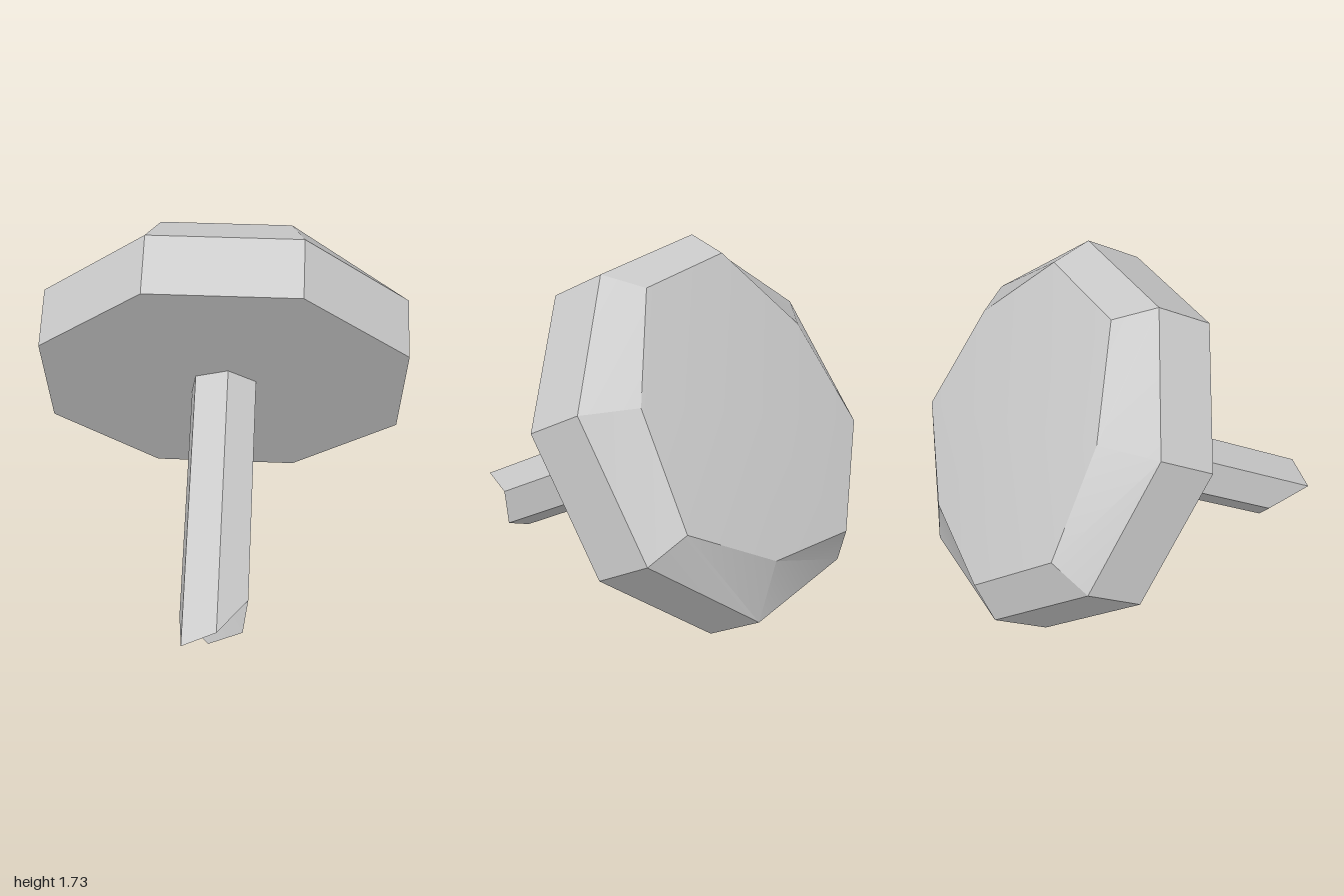
import * as THREE from 'three';
import { toCreasedNormals } from 'three/addons/utils/BufferGeometryUtils.js';

// Joins rings of points (bottom to top) and closes both ends with fans
function loft(rings, bottom, top, crease) {
  const pos = [];
  const tri = (...pts) => pts.forEach((p) => pos.push(p.x, p.y, p.z));
  const n = rings[0].length;
  for (let i = 0; i < n; i++) {
    const j = (i + 1) % n;
    for (let r = 0; r < rings.length - 1; r++) {
      const lo = rings[r], up = rings[r + 1];
      tri(lo[i], up[i], up[j]);
      tri(lo[i], up[j], lo[j]);
    }
    const last = rings[rings.length - 1];
    tri(bottom, rings[0][i], rings[0][j]);
    tri(top, last[j], last[i]);
  }
  const geometry = new THREE.BufferGeometry();
  geometry.setAttribute('position', new THREE.Float32BufferAttribute(pos, 3));
  return toCreasedNormals(geometry, crease);
}

// Ring of points around y; radius and height may vary from corner to corner
function ring(sides, startDeg, radius, height) {
  return Array.from({ length: sides }, (_, i) => {
    const a = THREE.MathUtils.degToRad(startDeg) + (i / sides) * Math.PI * 2;
    const r = Array.isArray(radius) ? radius[i] : radius;
    const y = Array.isArray(height) ? height[i] : height;
    return new THREE.Vector3(r * Math.cos(a), y, r * Math.sin(a));
  });
}

export function createModel() {
  const grey = new THREE.MeshStandardMaterial({ color: 0xcccccc });
  grey.name = 'light grey';
  const centre = (y) => new THREE.Vector3(0, y, 0);
  const model = new THREE.Group();
  model.name = 'mushroom';

  // Octagonal cap: straight rim, uneven bevel, shallow dome
  const cap = new THREE.Mesh(loft([
    ring(8, 0, 0.97, 0),
    ring(8, 0, 0.97, 0.316),
    ring(8, 0, [0.815, 0.74, 0.815, 0.815, 0.7, 0.815, 0.815, 0.71], 0.485),
  ], centre(0), centre(0.53), 0.4), grey);
  cap.name = 'cap';

  // Hexagonal stem with a ragged, broken end
  const brokenEnd = [-1.247, -1.147, -1.345, -1.393, -1.19, -1.286];
  const stem = new THREE.Mesh(loft([
    ring(6, -15, 0.175, brokenEnd),
    ring(6, -15, 0.175, 0.02),
  ], centre(-1.17), centre(0.02), 0.9), grey);
  stem.name = 'stem';

  // The whole piece lies tipped over on its rim and stem end
  const axis = new THREE.Vector3(0.68, 0.497, -0.538).normalize();
  const side = new THREE.Vector3(0.727, -0.335, 0.603);
  side.addScaledVector(axis, -side.dot(axis)).normalize();
  const across = new THREE.Vector3().crossVectors(side, axis);
  const tipped = new THREE.Group();
  tipped.name = 'tippedMushroom';
  tipped.quaternion.setFromRotationMatrix(new THREE.Matrix4().makeBasis(side, axis, across));
  tipped.position.set(0.075, 0.8, 0.085);
  tipped.add(cap, stem);
  model.add(tipped);
  return model;
}
